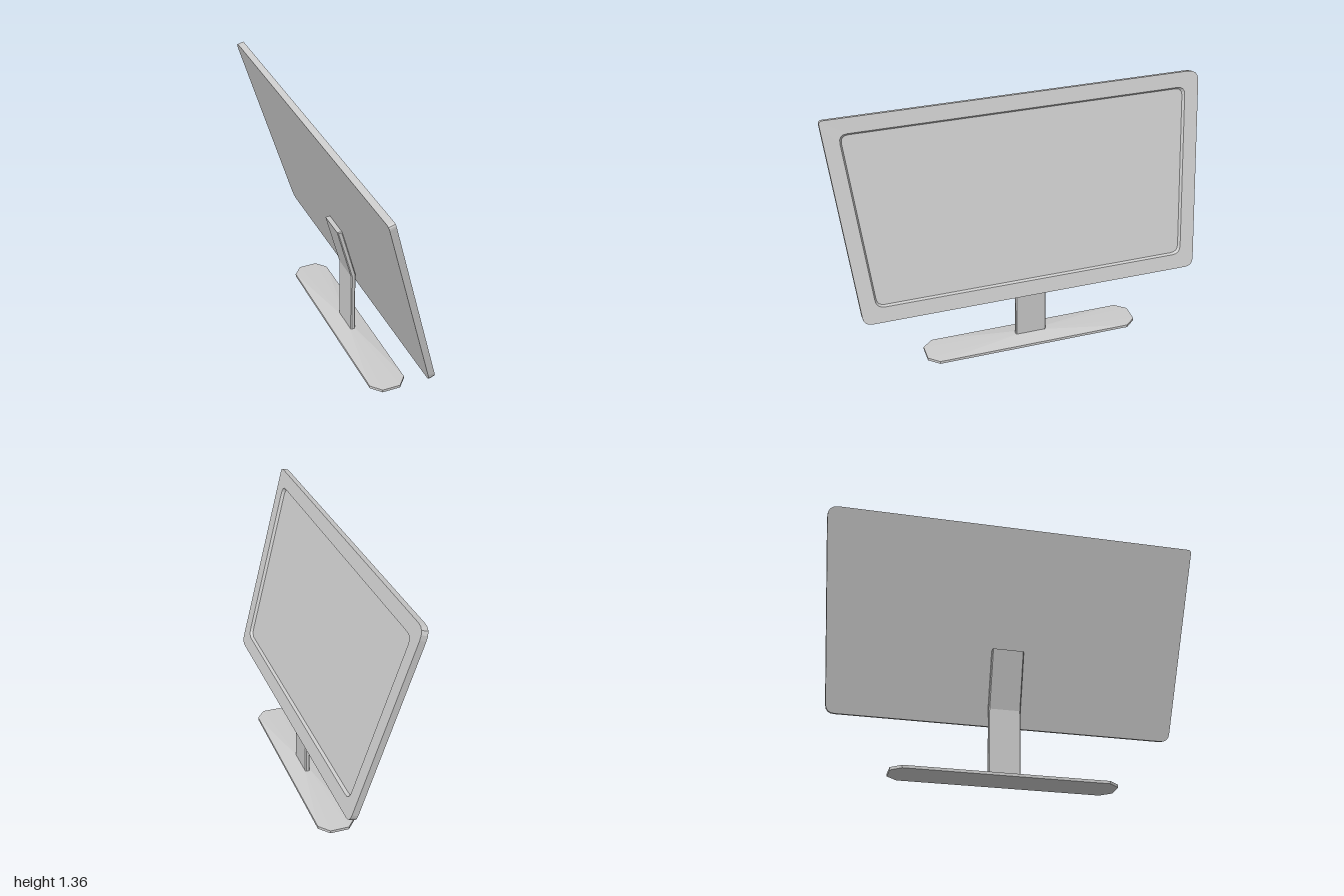
import * as THREE from 'three';

const grey = new THREE.MeshStandardMaterial({ color: 0xcccccc, flatShading: true, side: THREE.DoubleSide });

function addMesh(parent, name, geometry) {
  const mesh = new THREE.Mesh(geometry, grey);
  mesh.name = name;
  parent.add(mesh);
  return mesh;
}

// Closed outline from corners [x, y, radius], each corner rounded
function roundedOutline(corners, steps = 4) {
  const points = [];
  corners.forEach(([x, y, r], i) => {
    const n = corners.length;
    const here = new THREE.Vector2(x, y);
    const towards = ([a, b]) => here.clone().add(new THREE.Vector2(a - x, b - y).setLength(r));
    const curve = new THREE.QuadraticBezierCurve(
      towards(corners[(i + n - 1) % n]), here, towards(corners[(i + 1) % n]));
    points.push(...curve.getPoints(steps));
  });
  return points;
}

// Surface through successive loops of equal length, with optional end caps
function loft(loops, capped) {
  const n = loops[0].length;
  const index = [];
  for (let k = 0; k < loops.length - 1; k++) {
    for (let i = 0; i < n; i++) {
      const a = k * n + i, b = k * n + (i + 1) % n;
      index.push(a, b, b + n, a, b + n, a + n);
    }
  }
  if (capped) {
    const top = (loops.length - 1) * n;
    for (let i = 1; i < n - 1; i++) index.push(0, i + 1, i, top, top + i, top + i + 1);
  }
  const geometry = new THREE.BufferGeometry();
  geometry.setAttribute('position', new THREE.Float32BufferAttribute(loops.flat(2), 3));
  geometry.setIndex(index);
  const flat = geometry.toNonIndexed();
  flat.computeVertexNormals();
  return flat;
}

// Tilted display panel: back shell, rim with opening, sloped lip
function createPanel() {
  const panel = new THREE.Group();
  panel.name = 'displayPanel';
  const thickness = 0.034, recess = 0.015;
  const outline = roundedOutline([
    [-0.912, 0, 0.045], [0.919, 0, 0.045], [1.004, 1.077, 0.06], [-1.004, 1.077, 0.022],
  ]);
  const opening = roundedOutline([
    [-0.838, 0.082, 0.045], [0.848, 0.082, 0.045], [0.922, 0.998, 0.045], [-0.917, 0.998, 0.045],
  ]);
  const screenEdge = roundedOutline([
    [-0.830, 0.091, 0.04], [0.840, 0.091, 0.04], [0.912, 0.989, 0.04], [-0.907, 0.989, 0.04],
  ]);

  const backDepth = thickness - recess;
  const back = new THREE.ExtrudeGeometry(new THREE.Shape(outline), { depth: backDepth, bevelEnabled: false });
  addMesh(panel, 'screenAndBackShell', back);

  const rimShape = new THREE.Shape(outline);
  rimShape.holes.push(new THREE.Path(opening));
  const rim = new THREE.ExtrudeGeometry(rimShape, { depth: recess, bevelEnabled: false });
  rim.translate(0, 0, backDepth);
  addMesh(panel, 'screenRim', rim);

  const loopAt = (points, z) => points.map((p) => [p.x, p.y, z]);
  addMesh(panel, 'screenLip', loft([loopAt(opening, thickness), loopAt(screenEdge, backDepth)], false));

  // Turn the panel to face +x, then lean it back
  panel.children.forEach((m) => m.geometry.rotateY(Math.PI / 2));
  panel.rotation.z = 0.2757;
  panel.position.set(0.118, 0.31, 0);
  return panel;
}

// Bent neck: side profile extruded across the width
function createNeck() {
  const profile = [[0.064, 0.02], [0.089, 0.02], [0.089, 0.4], [0.010, 0.697], [-0.018, 0.697], [0.064, 0.39]];
  const shape = new THREE.Shape(profile.map(([x, y]) => new THREE.Vector2(x, y)));
  const bevel = 0.005;
  const geometry = new THREE.ExtrudeGeometry(shape, {
    depth: 0.16, bevelThickness: bevel, bevelSize: bevel, bevelOffset: -bevel, bevelSegments: 1,
  });
  return geometry.translate(0, 0, -0.083);
}

// Foot: octagonal plate whose top slopes up to the neck
function createFoot() {
  const octagon = (halfX, halfZ, cutX, cutZ, y) => [
    [halfX, halfZ - cutZ], [halfX, cutZ - halfZ], [halfX - cutX, -halfZ], [cutX - halfX, -halfZ],
    [-halfX, cutZ - halfZ], [-halfX, halfZ - cutZ], [cutX - halfX, halfZ], [halfX - cutX, halfZ],
  ].map(([x, z]) => [0.075 + x, y, z - 0.004]);
  return loft([
    octagon(0.099, 0.59, 0.049, 0.056, 0),
    octagon(0.099, 0.59, 0.049, 0.056, 0.015),
    octagon(0.016, 0.088, 0.004, 0.004, 0.031),
  ], true);
}

export function createModel() {
  const model = new THREE.Group();
  model.name = 'monitor';
  model.add(createPanel());
  addMesh(model, 'neck', createNeck());
  addMesh(model, 'foot', createFoot());
  // The whole stands slightly turned
  model.rotation.y = 0.0105;
  return model;
}
